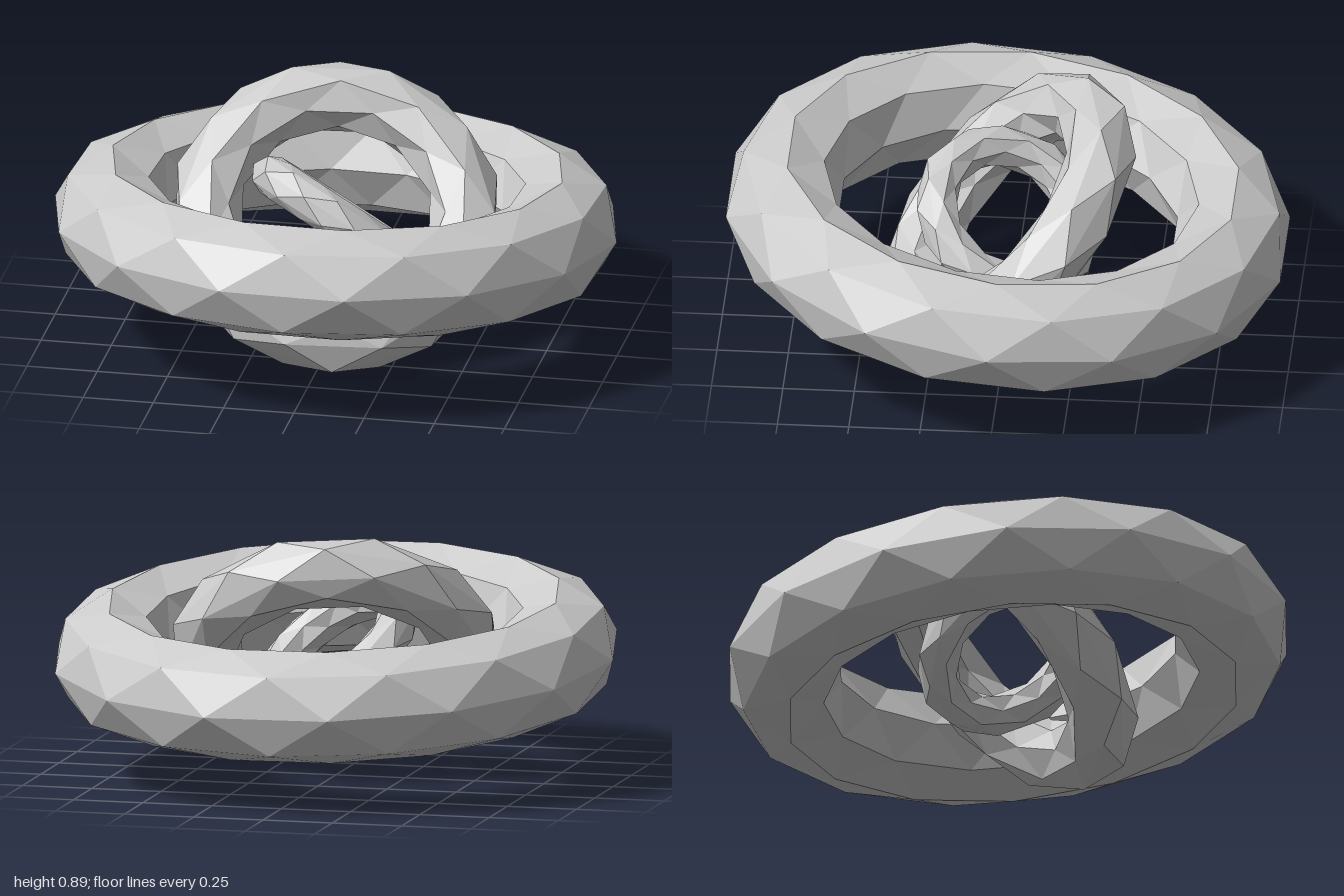
import * as THREE from 'three';

// Faceted ring: rows run around the tube, every other row shifted half a step
function ringGeometry(R, r, segs, sides, phase) {
  const pos = [], idx = [];
  for (let j = 0; j < sides; j++) {
    const v = (j / sides) * Math.PI * 2;
    const rho = R + r * Math.cos(v);
    for (let i = 0; i < segs; i++) {
      const u = ((i + (j % 2) * 0.5 + phase) / segs) * Math.PI * 2;
      pos.push(rho * Math.cos(u), r * Math.sin(v), rho * Math.sin(u));
    }
  }
  const at = (i, j) => (j % sides) * segs + (i % segs);
  for (let j = 0; j < sides; j++) {
    for (let i = 0; i < segs; i++) {
      const a = at(i, j), b = at(i + 1, j), c = at(i, j + 1), d = at(i + 1, j + 1);
      if (j % 2 === 0) idx.push(a, c, b, b, c, d);
      else idx.push(a, c, d, a, d, b);
    }
  }
  const geo = new THREE.BufferGeometry();
  geo.setAttribute('position', new THREE.Float32BufferAttribute(pos, 3));
  geo.setIndex(idx);
  geo.computeVertexNormals();
  return geo;
}

export function createModel() {
  const group = new THREE.Group();
  const material = new THREE.MeshStandardMaterial({ color: 0xcccccc, flatShading: true });
  const up = new THREE.Vector3(0, 1, 0);

  // Three nested rings sharing one centre, each tilted along its own axis
  const rings = [
    { name: 'outerRing', R: 0.8, r: 0.2, segs: 14, phase: 0, axis: [0.01, 1, -0.09], y: 0.438 },
    { name: 'middleRing', R: 0.465, r: 0.122, segs: 10, phase: 0.2, axis: [0.18, 0.7, 0.7], y: 0.445 },
    { name: 'innerRing', R: 0.272, r: 0.072, segs: 10, phase: 0, axis: [0.47, 0.78, -0.4], y: 0.445 },
  ];
  for (const { name, R, r, segs, phase, axis, y } of rings) {
    const mesh = new THREE.Mesh(ringGeometry(R, r, segs, 8, phase), material);
    mesh.name = name;
    mesh.quaternion.setFromUnitVectors(up, new THREE.Vector3(...axis).normalize());
    mesh.position.y = y;
    group.add(mesh);
  }
  return group;
}
